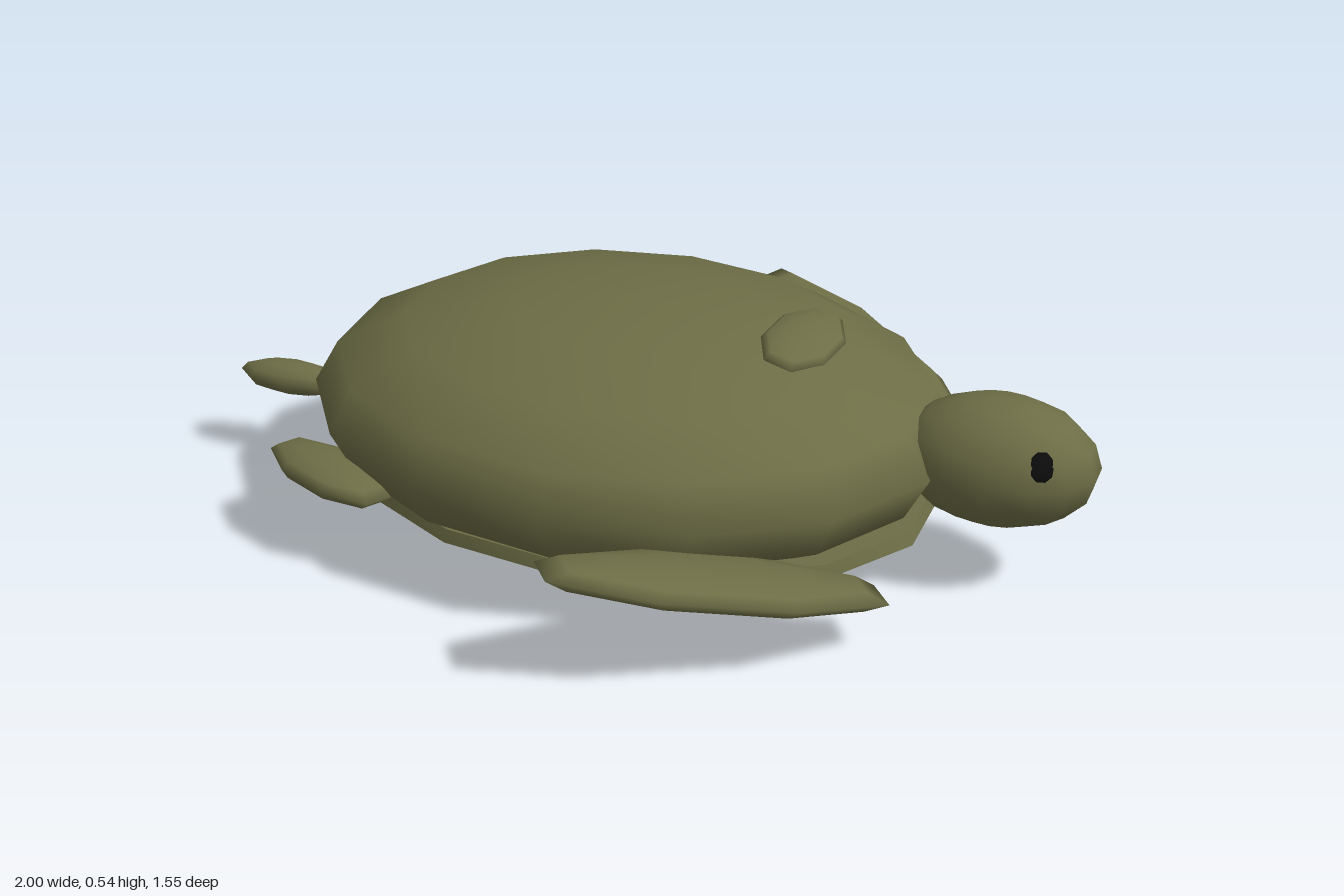
import * as THREE from 'three';
import { toCreasedNormals } from 'three/addons/utils/BufferGeometryUtils.js';

const V = (x, y, z) => new THREE.Vector3(x, y, z);

export function createModel() {
  const group = new THREE.Group();
  const olive = new THREE.MeshStandardMaterial({ color: 0x6d6d46 });
  olive.name = 'olive skin';
  const black = new THREE.MeshStandardMaterial({ color: 0x0c0c0c });
  black.name = 'black eye';

  function add(name, geometry, material = olive) {
    const mesh = new THREE.Mesh(geometry, material);
    mesh.name = name;
    group.add(mesh);
    return mesh;
  }

  // Coarse ellipsoid: local x runs along `along`, local y along `up`
  function ellipsoid(name, center, radii, segs, rings, phase, along = V(1, 0, 0), up = V(0, 1, 0), material = olive) {
    const g = new THREE.SphereGeometry(1, segs, rings, phase);
    const x = along.clone().normalize();
    const z = x.clone().cross(up).normalize();
    const y = z.clone().cross(x);
    const m = new THREE.Matrix4().makeBasis(x, y, z).setPosition(...center);
    g.scale(...radii).applyMatrix4(m);
    return add(name, g, material);
  }

  // Body
  ellipsoid('shell', [-0.04, 0.28, 0], [0.725, 0.26, 0.565], 14, 8, Math.PI / 2);

  // Belly plate: shallow bowl with a short upright rim
  const profile = [[0, 0], [0.45, 0.025], [0.76, 0.064], [1, 0.112], [0.985, 0.142], [0, 0.15]]
    .map(([r, y]) => new THREE.Vector2(r, y));
  const belly = new THREE.LatheGeometry(profile, 14).scale(0.67, 1, 0.48).translate(-0.02, 0, 0);
  add('bellyPlate', toCreasedNormals(belly, 0.7));

  // Bump on the front of the shell
  ellipsoid('shellBump', [0.345, 0.498, -0.01], [0.083, 0.027, 0.148], 8, 6, Math.PI / 8,
    V(1, -0.22, 0.12), V(0, 1, 0));

  // Head and tail
  ellipsoid('head', [0.785, 0.295, 0], [0.22, 0.145, 0.145], 14, 8, Math.PI / 2);
  ellipsoid('tail', [-0.873, 0.2, -0.008], [0.13, 0.038, 0.05], 8, 6, 0);

  // Paired parts
  for (const s of [1, -1]) {
    const side = s > 0 ? 'right' : 'left';
    ellipsoid(side + 'Eye', [0.898, 0.348, s * 0.102], [0.029, 0.009, 0.033], 10, 6, 0,
      V(1, -0.1, -0.47 * s), V(2.5, 2.5, 4.8 * s), black);
    ellipsoid(side + 'FrontFlipper', [0.33, 0.198, s * 0.535], [0.4, 0.042, 0.128], 8, 6, Math.PI / 8,
      V(-0.61, 0.165, 0.41 * s), V(0.13, 1, -0.2 * s));
    ellipsoid(side + 'RearFlipper', [-0.61, 0.187, s * 0.355], [0.182, 0.038, 0.085], 8, 6, Math.PI / 8,
      V(0.9, -0.02, 0.45 * s), V(0, 1, -0.1 * s));
  }

  return group;
}
